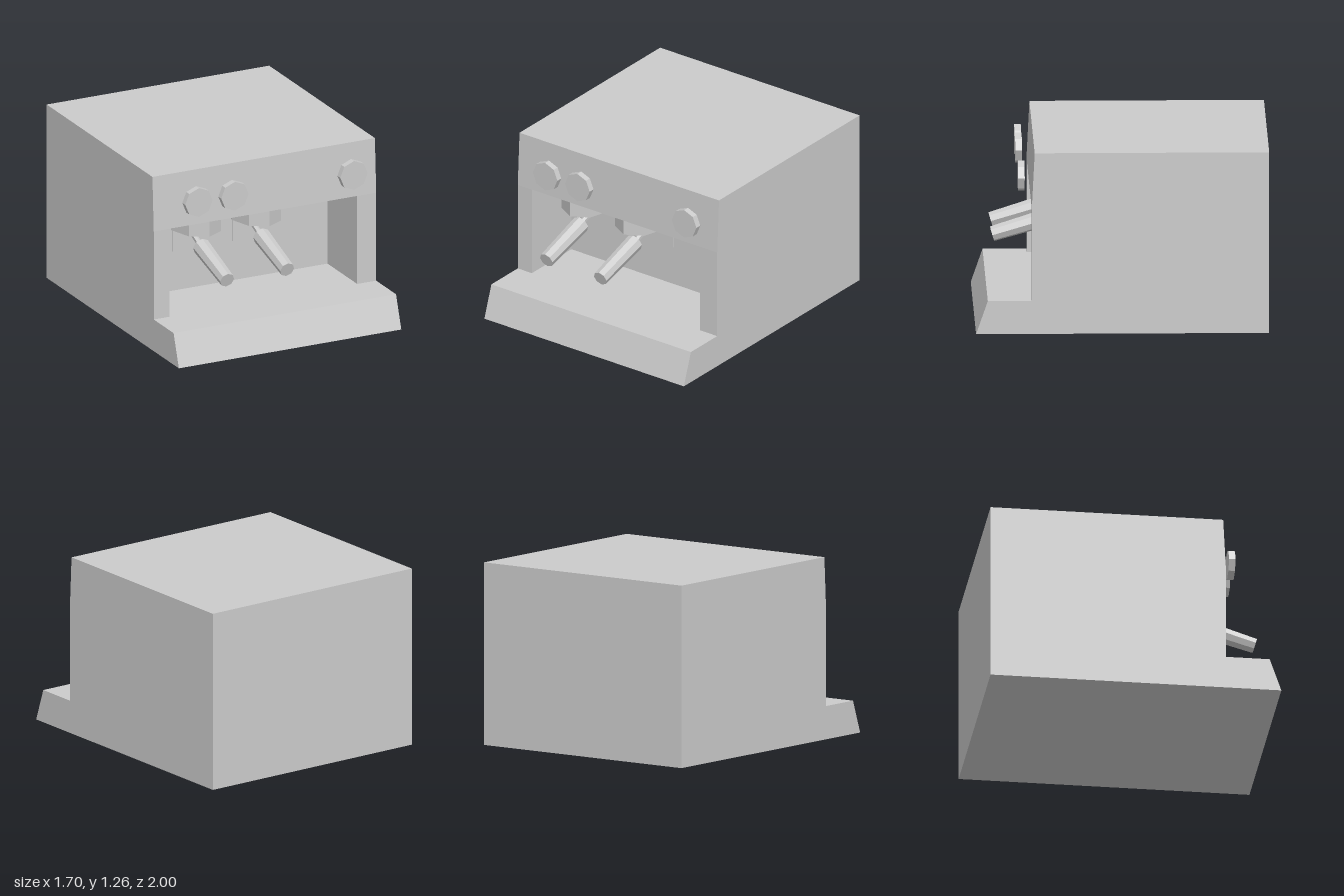
import * as THREE from 'three';

const material = new THREE.MeshStandardMaterial({ color: 0xcccccc, flatShading: true });

function add(parent, name, geometry, x = 0, y = 0, z = 0) {
  const mesh = new THREE.Mesh(geometry, material);
  mesh.name = name;
  mesh.position.set(x, y, z);
  parent.add(mesh);
  return mesh;
}

// Side profile given as [z, y] points, extruded from x0 to x1
function slab(profile, x0, x1) {
  const shape = new THREE.Shape(profile.map(([z, y]) => new THREE.Vector2(z, y)));
  return new THREE.ExtrudeGeometry(shape, { depth: x1 - x0, bevelEnabled: false })
    .rotateY(-Math.PI / 2)
    .translate(x1, 0, 0);
}

// Tapered rod between two [y, z] points in the plane x = 0
function rod(from, to, rFrom, rTo, sides) {
  const dy = to[0] - from[0], dz = to[1] - from[1];
  return new THREE.CylinderGeometry(rTo, rFrom, Math.hypot(dy, dz), sides)
    .rotateX(Math.atan2(dz, dy))
    .translate(0, (from[0] + to[0]) / 2, (from[1] + to[1]) / 2);
}

export function createModel() {
  const model = new THREE.Group();
  model.name = 'espressoMachine';

  // Housing: two side walls and a middle section with the working recess
  const body = new THREE.Group();
  body.name = 'housing';
  model.add(body);
  const base = [[-1, 0], [1, 0], [0.92, 0.23]];
  const top = [[0.62, 0.87], [0.6, 1.26], [-1, 1.26]];
  const wall = [...base, [0.62, 0.23], ...top];
  const recessed = [...base, [0.17, 0.23], [0.17, 0.87], ...top];
  add(body, 'rightWall', slab(wall, -0.85, -0.73));
  add(body, 'middleSection', slab(recessed, -0.73, 0.705));
  add(body, 'leftWall', slab(wall, 0.705, 0.85));

  // Octagonal control knobs
  for (const x of [-0.55, -0.275, 0.635]) {
    const knob = new THREE.CylinderGeometry(0.105, 0.105, 0.045, 8).rotateX(Math.PI / 2);
    add(model, 'knob', knob, x, 1.06, 0.688);
  }

  // Brew groups with filter handles
  for (const x of [-0.417, 0.042]) {
    const group = new THREE.Group();
    group.name = 'brewGroup';
    group.position.x = x;
    model.add(group);
    const head = new THREE.CylinderGeometry(0.173, 0.173, 0.115, 8).scale(1, 1, 1.33);
    add(group, 'groupHead', head, 0, 0.8125, 0.376);
    const collar = new THREE.CylinderGeometry(0.078, 0.078, 0.03, 8).scale(1, 1, 1.33);
    add(group, 'filterCollar', collar, 0, 0.74, 0.376);
    add(group, 'handleNeck', rod([0.715, 0.3], [0.64, 0.5], 0.02, 0.02, 6));
    add(group, 'handle', rod([0.645, 0.48], [0.527, 0.873], 0.062, 0.053, 8));
    add(group, 'backPlate', new THREE.BoxGeometry(0.165, 0.24, 0.01), 0.02, 0.635, 0.175);
  }
  return model;
}
